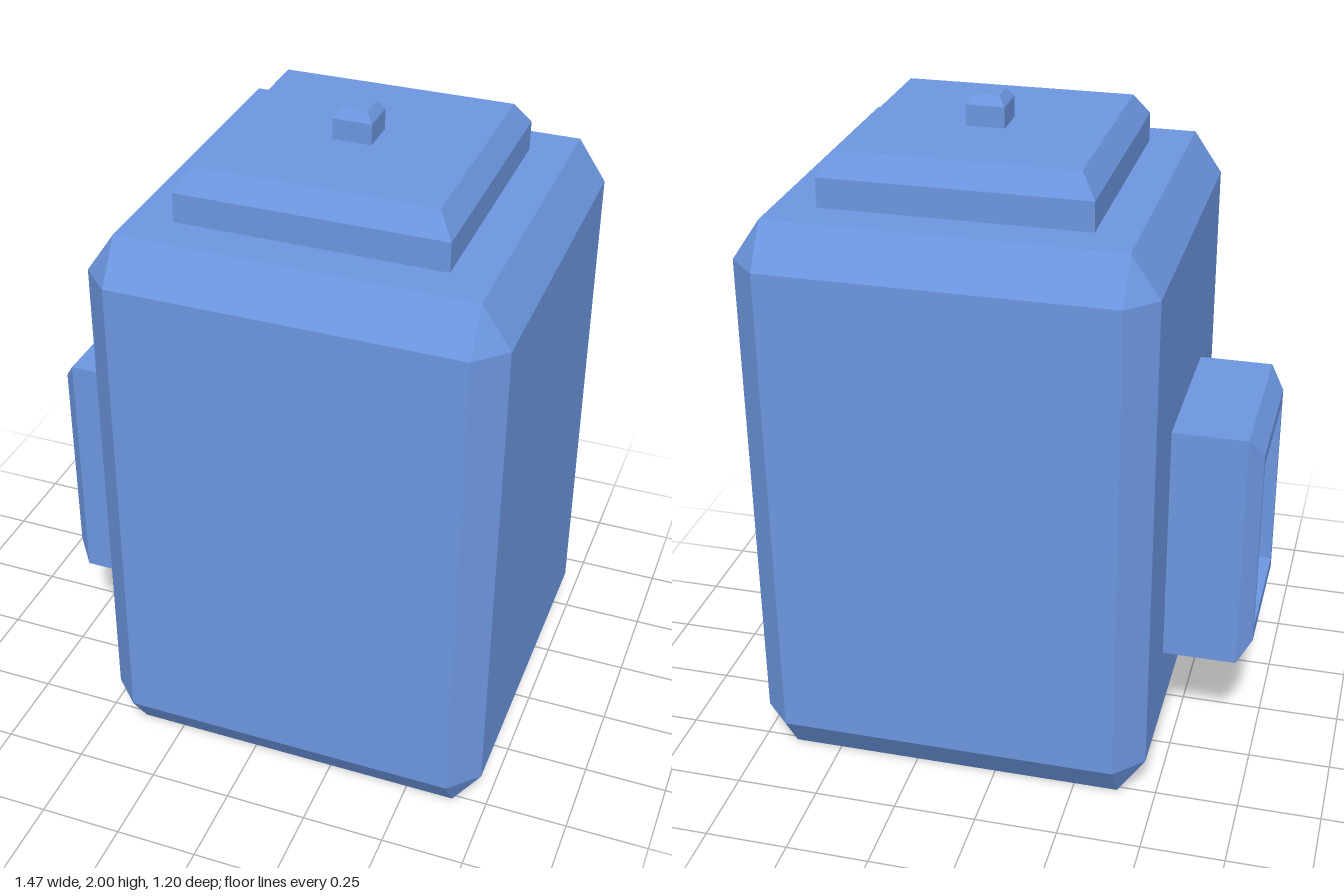
import * as THREE from 'three';

// Ring of 8 corners at height y; c cuts the corners, c = 0 leaves a plain rectangle
function ring([y, hx, hz, c = 0]) {
  return [
    [hx - c, hz], [hx, hz - c], [hx, c - hz], [hx - c, -hz],
    [c - hx, -hz], [-hx, c - hz], [-hx, hz - c], [c - hx, hz],
  ].map(([x, z]) => new THREE.Vector3(x, y, z));
}

// Flat-shaded skin through stacked rings, optionally closed at both ends
function loft(sections, capped = true) {
  const rings = sections.map(ring);
  const points = [];
  const tri = (a, b, c) => {
    if (new THREE.Triangle(a, b, c).getArea() > 1e-7) points.push(a, b, c);
  };
  for (let k = 0; k < rings.length - 1; k++) {
    const lo = rings[k], hi = rings[k + 1];
    for (let i = 0; i < 8; i++) {
      const j = (i + 1) % 8;
      tri(lo[i], lo[j], hi[j]);
      tri(lo[i], hi[j], hi[i]);
    }
  }
  if (capped) {
    const bottom = rings[0], top = rings[rings.length - 1];
    for (let i = 1; i < 7; i++) {
      tri(bottom[0], bottom[i + 1], bottom[i]);
      tri(top[0], top[i], top[i + 1]);
    }
  }
  const geometry = new THREE.BufferGeometry().setFromPoints(points);
  geometry.computeVertexNormals();
  return geometry;
}

export function createModel() {
  const model = new THREE.Group();
  const blue = new THREE.MeshStandardMaterial({ color: 0x6c96e0 });
  blue.name = 'blue';

  const add = (name, geometry, x, y) => {
    const mesh = new THREE.Mesh(geometry, blue);
    mesh.name = name;
    mesh.position.set(x, y, 0);
    model.add(mesh);
    return mesh;
  };
  const axisX = 0.132;

  // Body: tall block with every edge bevelled
  add('body', loft([
    [0, 0.515, 0.515],
    [0.125, 0.6, 0.6, 0.085],
    [1.63, 0.6, 0.6, 0.085],
    [1.755, 0.515, 0.515],
  ]), axisX, 0);

  // Lid and knob: blocks with bevelled top edges
  add('lid', loft([
    [1.75, 0.393, 0.393],
    [1.843, 0.393, 0.393],
    [1.91, 0.348, 0.348],
  ]), axisX, 0);
  add('knob', loft([
    [1.905, 0.057, 0.057],
    [1.972, 0.057, 0.057],
    [2, 0.037, 0.037],
  ]), axisX, 0);

  // Handle: hollow bevelled frame on the right side, open outwards
  const handle = add('handle', loft([
    [0.46, 0.382, 0.261],
    [0.692, 0.382, 0.261],
    [0.735, 0.32, 0.218],
    [0.735, 0.279, 0.2],
    [0.46, 0.279, 0.2],
  ], false), 0, 0.728);
  handle.rotation.z = Math.PI / 2;

  return model;
}
